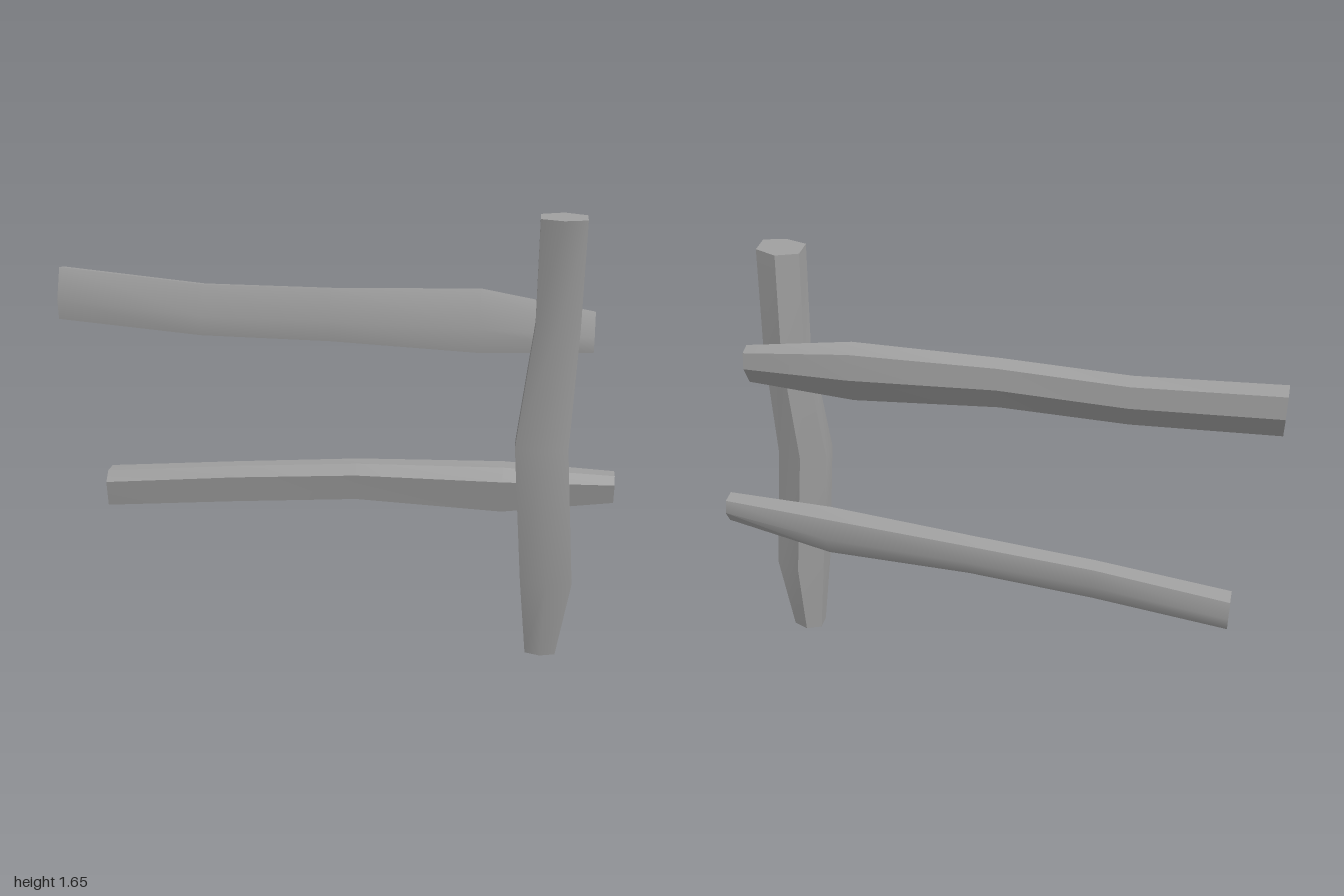
import * as THREE from 'three';
import { toCreasedNormals } from 'three/addons/utils/BufferGeometryUtils.js';

// Hexagonal sections in -1..1, counter-clockwise about the beam's axis
const POST = [[0, 1], [1, 0.66], [1, -0.52], [0, -1], [-1, -0.52], [-1, 0.66]];            // [x, z]
const UPPER = [[0.2, 1], [1, -0.1], [0.9, -0.85], [0, -1], [-1, 0.05], [-0.78, 0.87]];     // [z, y]
const LOWER = [[0.4, 1], [1, 0.52], [0.74, -0.9], [-0.38, -1], [-1, 0.05], [-0.7, 0.95]];  // [z, y]

// Lofts a section through stations [t, aMin, aMax, bMin, bMax]; place maps (t, a, b) to xyz
function beam(name, section, crease, place, stations) {
  const n = section.length;
  const rings = stations.map(([t, a0, a1, b0, b1]) => section.map(([a, b]) =>
    place(t, (a0 + a1 + a * (a1 - a0)) / 2, (b0 + b1 + b * (b1 - b0)) / 2)));
  const pos = [];
  const tri = (...corners) => corners.forEach((c) => pos.push(...c));
  // Sides
  for (let i = 0; i < rings.length - 1; i++) {
    for (let j = 0; j < n; j++) {
      const k = (j + 1) % n;
      tri(rings[i][j], rings[i][k], rings[i + 1][k]);
      tri(rings[i][j], rings[i + 1][k], rings[i + 1][j]);
    }
  }
  // End caps
  const first = rings[0], last = rings[rings.length - 1];
  for (let j = 1; j < n - 1; j++) {
    tri(first[0], first[j + 1], first[j]);
    tri(last[0], last[j], last[j + 1]);
  }
  const geo = new THREE.BufferGeometry();
  geo.setAttribute('position', new THREE.Float32BufferAttribute(pos, 3));
  const mesh = new THREE.Mesh(toCreasedNormals(geo, crease),
    new THREE.MeshStandardMaterial({ color: 0xa0a0a0 }));
  mesh.name = name;
  return mesh;
}

export function createModel() {
  const group = new THREE.Group();
  group.name = 'brokenFence';
  const upright = (t, x, z) => [x, t, z];
  const lying = (t, z, y) => [t, y, z];

  // Post: height, x range, z range
  group.add(beam('post', POST, 0.58, upright, [
    [0, 0.71, 0.82, 0, 0.095],
    [0.31, 0.68, 0.865, -0.015, 0.14],
    [0.83, 0.64, 0.825, 0.013, 0.143],
    [1.27, 0.69, 0.842, 0.01, 0.135],
    [1.65, 0.69, 0.845, 0.042, 0.17],
  ]));

  // Rails: x, z range, y range
  group.add(beam('upperRail', UPPER, 0.58, lying, [
    [-1, -0.065, 0.05, 1.195, 1.39],
    [-0.48, -0.05, 0.062, 1.16, 1.35],
    [-0.02, -0.037, 0.07, 1.16, 1.355],
    [0.5, -0.073, 0.06, 1.133, 1.365],
    [0.893, -0.04, 0.045, 1.152, 1.3],
  ]));
  group.add(beam('lowerRail', LOWER, 0.75, lying, [
    [-0.895, -0.173, -0.06, 0.428, 0.57],
    [-0.4, -0.155, -0.055, 0.475, 0.62],
    [0.06, -0.16, -0.05, 0.513, 0.655],
    [0.6, -0.15, -0.017, 0.506, 0.68],
    [1, -0.11, -0.013, 0.572, 0.675],
  ]));
  return group;
}
